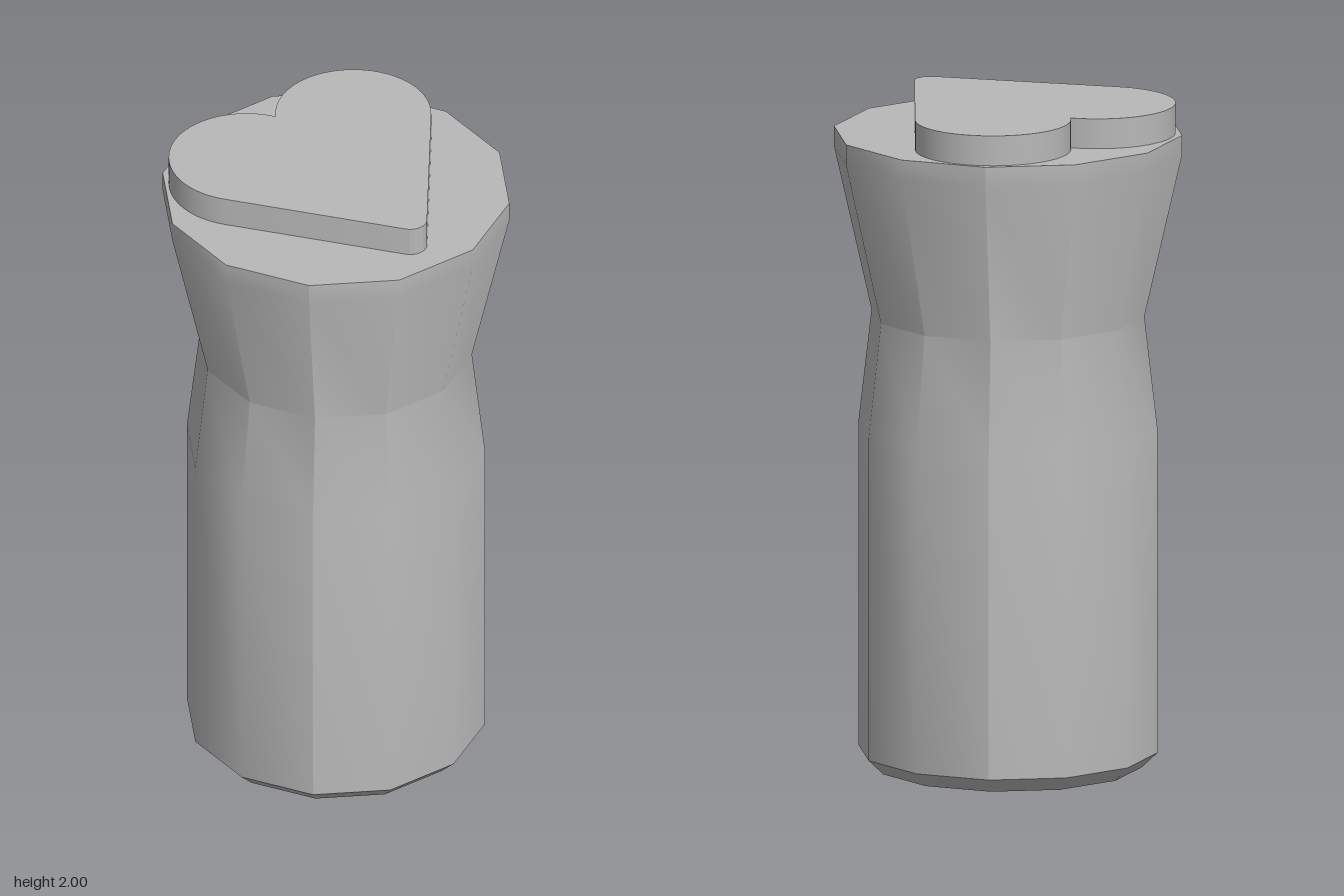
import * as THREE from 'three';
import { toCreasedNormals } from 'three/addons/utils/BufferGeometryUtils.js';

export function createModel() {
  const model = new THREE.Group();
  model.name = 'heartStamp';
  const grey = new THREE.MeshStandardMaterial({ color: 0xb8b8b8 });
  grey.name = 'grey';

  const add = (name, geometry, parent = model) => {
    const mesh = new THREE.Mesh(geometry, grey);
    mesh.name = name;
    parent.add(mesh);
    return mesh;
  };

  // Twelve-sided handle: [half width across flats, height]
  const toCorner = 1 / Math.cos(Math.PI / 12);
  const profile = [[0.385, 0], [0.43, 0.045], [0.43, 1.02], [0.392, 1.36], [0.5, 1.85], [0.5, 1.91]]
    .map(([w, y]) => new THREE.Vector2(w * toCorner, y));

  // Four smooth quarters of three faces each, meeting at sharp diagonal edges
  const handle = new THREE.Group();
  handle.name = 'handle';
  model.add(handle);
  for (let i = 0; i < 4; i++) {
    const quarter = new THREE.LatheGeometry(profile, 3, Math.PI / 4 + i * Math.PI / 2, Math.PI / 2);
    add('handleQuarter', toCreasedNormals(quarter, 0.6), handle);
  }

  // Flat ends
  const disc = (radius) => new THREE.CircleGeometry(radius, 12, Math.PI / 12);
  add('topPlate', disc(profile[5].x).rotateX(-Math.PI / 2).translate(0, 1.91, 0));
  add('basePlate', disc(profile[0].x).rotateX(Math.PI / 2));

  // Raised heart: rounded tip at the front, two round lobes at the back
  const slope = 0.655, notch = 2.59;
  const heart = new THREE.Shape();
  heart.absarc(0, -0.37, 0.05, Math.PI + slope, 2 * Math.PI - slope);
  heart.absarc(0.195, 0.18, 0.23, -slope, notch);
  heart.absarc(-0.195, 0.18, 0.23, Math.PI - notch, Math.PI + slope);
  heart.closePath();
  const raised = new THREE.ExtrudeGeometry(heart, { depth: 0.09, bevelEnabled: false, curveSegments: 24 });
  raised.rotateX(-Math.PI / 2).translate(0, 1.91, 0);
  add('heart', toCreasedNormals(raised, 0.6));

  return model;
}
